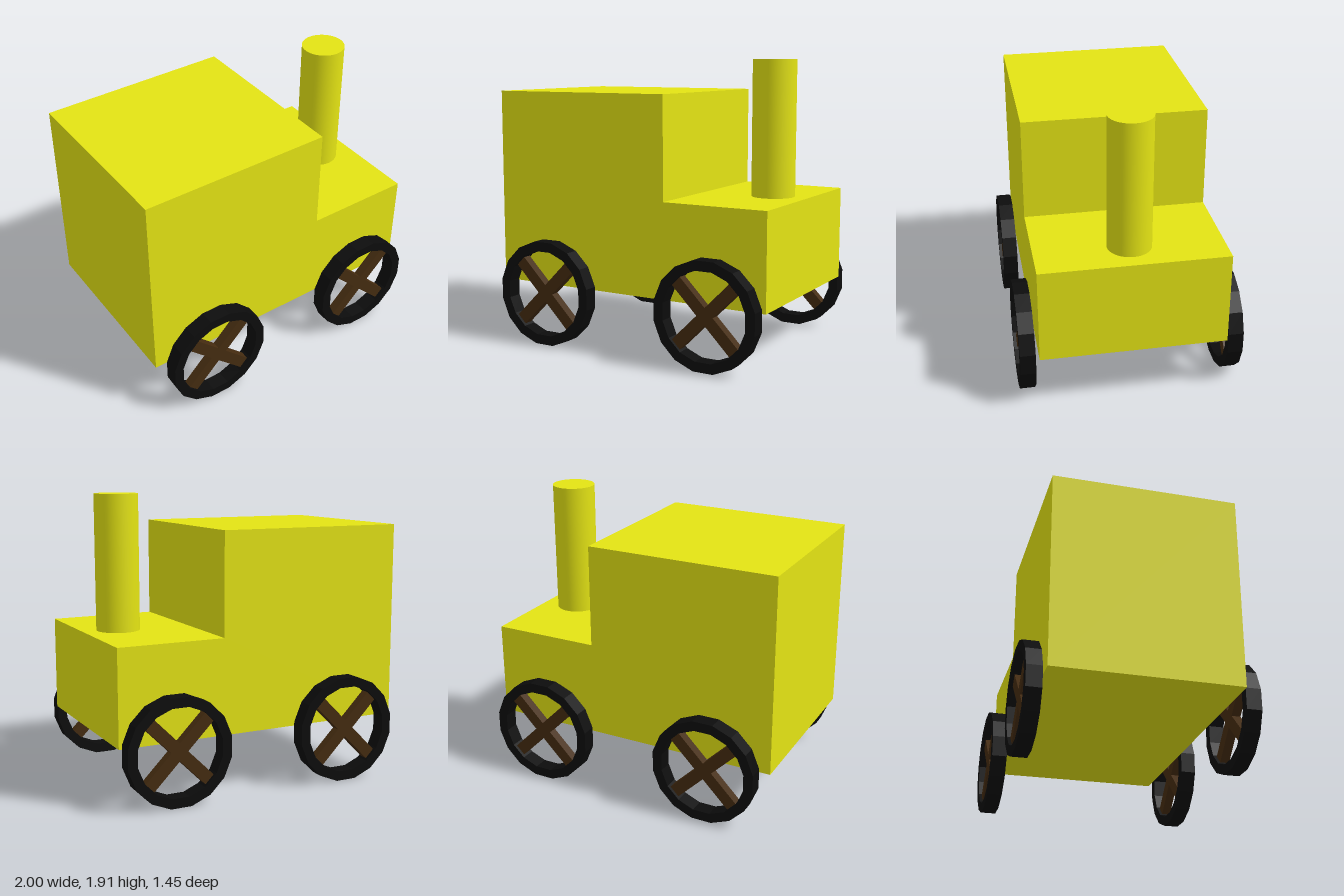
import * as THREE from 'three';

const yellow = new THREE.MeshStandardMaterial({ color: 0xe4e414 });
const black = new THREE.MeshStandardMaterial({ color: 0x0c0c0c, flatShading: true });
const brown = new THREE.MeshStandardMaterial({ color: 0x452c10, flatShading: true });

function add(parent, name, geometry, material, x = 0, y = 0, z = 0) {
  const mesh = new THREE.Mesh(geometry, material);
  mesh.name = name;
  mesh.position.set(x, y, z);
  parent.add(mesh);
  return mesh;
}

// Points of a regular polygon with flat sides facing up, down, left and right
function polygon(apothem, sides) {
  const r = apothem / Math.cos(Math.PI / sides);
  return Array.from({ length: sides }, (_, i) => {
    const a = ((i + 0.5) / sides) * Math.PI * 2;
    return new THREE.Vector2(r * Math.cos(a), r * Math.sin(a));
  });
}

// Rim ring with two crossed spokes, centred on its own origin
function makeWheel(name) {
  const wheel = new THREE.Group();
  wheel.name = name;
  const ring = new THREE.Shape(polygon(0.35, 16));
  ring.holes.push(new THREE.Path(polygon(0.286, 16)));
  const rim = new THREE.ExtrudeGeometry(ring, { depth: 0.1, bevelEnabled: false });
  add(wheel, 'rim', rim, black, 0, 0, -0.05);
  for (const side of [-1, 1]) {
    const spoke = add(wheel, 'spoke', new THREE.BoxGeometry(0.6, 0.08, 0.06), brown);
    spoke.rotation.z = side * Math.PI / 4;
  }
  return wheel;
}

export function createModel() {
  const model = new THREE.Group();
  model.name = 'toyEngine';

  // Body: one L-shaped block with a tall cab and a low hood
  const profile = new THREE.Shape([
    [-1, 0.39], [1, 0.39], [1, 1.02], [0.28, 1.02], [0.28, 1.695], [-1, 1.695],
  ].map(([x, y]) => new THREE.Vector2(x, y)));
  const body = new THREE.ExtrudeGeometry(profile, { depth: 1.213, bevelEnabled: false });
  add(model, 'body', body, yellow, 0, 0, -0.613);

  // Chimney on the hood
  add(model, 'chimney', new THREE.CylinderGeometry(0.143, 0.143, 0.91, 48), yellow, 0.76, 1.455, -0.01);

  // Four wheels, just clear of the body sides
  for (const [end, x] of [['left', 0.635], ['right', -0.58]]) {
    for (const [side, z] of [['Front', 0.672], ['Back', -0.675]]) {
      const wheel = makeWheel(end + side + 'Wheel');
      wheel.position.set(x, 0.35, z);
      model.add(wheel);
    }
  }
  return model;
}
